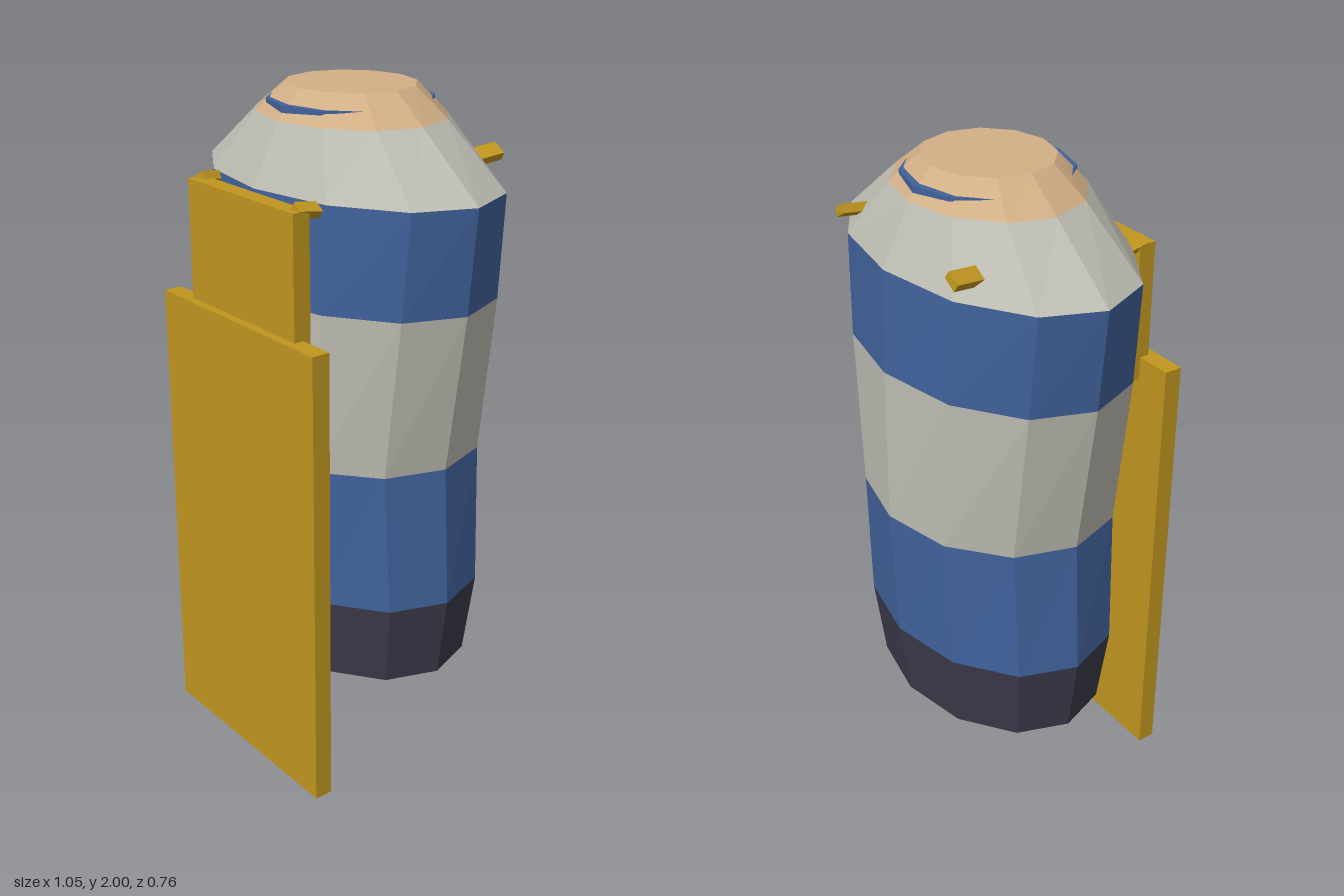
import * as THREE from 'three';

const BLUE = 0x41629c, GREY = 0xbdbcb2, SKIN = 0xd2af86, DARK = 0x3a3b4a, GOLD = 0xc0961f;

function createMesh(name, geometry, color) {
  const material = new THREE.MeshStandardMaterial({ color, flatShading: true });
  const mesh = new THREE.Mesh(geometry, material);
  mesh.name = name;
  return mesh;
}

function box(name, w, h, d, x, y, z) {
  const mesh = createMesh(name, new THREE.BoxGeometry(w, h, d), GOLD);
  mesh.position.set(x, y, z);
  return mesh;
}

// Twelve-sided elliptical band between two rings [y, half width, half depth]
function band(name, low, high, color) {
  const geometry = new THREE.CylinderGeometry(1, 1, 1, 12, 1);
  const p = geometry.attributes.position;
  for (let i = 0; i < p.count; i++) {
    const [y, rx, rz] = p.getY(i) > 0 ? high : low;
    p.setXYZ(i, p.getX(i) * rx, y, p.getZ(i) * rz - 0.03);
  }
  geometry.computeVertexNormals();
  return createMesh(name, geometry, color);
}

// Thin crescent collar with a triangular section that closes to a point at each end
function collar(name, side) {
  const outer = [[-0.2, 0.12], [-0.12, 0.203], [0, 0.236], [0.12, 0.203], [0.2, 0.12]];
  const inset = [0, 0.022, 0.025, 0.022, 0];
  const drop = [0, 0.012, 0.02, 0.012, 0];
  const vertices = [], index = [];
  outer.forEach(([x, z], i) => {
    const at = (y, depth) => vertices.push(x * side, y, depth * side - 0.03);
    at(1.96, z);
    at(1.96 - drop[i], z);
    at(1.96, z - inset[i]);
  });
  for (let i = 0; i < 4; i++) {
    for (let j = 0; j < 3; j++) {
      const a = i * 3 + j, b = i * 3 + (j + 1) % 3;
      index.push(a, b, a + 3, b, b + 3, a + 3);
    }
  }
  const geometry = new THREE.BufferGeometry();
  geometry.setAttribute('position', new THREE.Float32BufferAttribute(vertices, 3));
  geometry.setIndex(index);
  geometry.computeVertexNormals();
  const mesh = createMesh(name, geometry, BLUE);
  mesh.material.side = THREE.DoubleSide;
  return mesh;
}

export function createModel() {
  const model = new THREE.Group();
  model.name = 'armouredTorso';

  // Torso, from the waist up to the neck
  const rings = [
    [0.31, 0.42, 0.305], [0.56, 0.455, 0.335], [0.98, 0.43, 0.35], [1.45, 0.497, 0.345],
    [1.75, 0.525, 0.333], [1.92, 0.303, 0.25], [2, 0.194, 0.18],
  ];
  const bands = [
    ['waist', DARK], ['lowerStripe', BLUE], ['middleStripe', GREY],
    ['chestStripe', BLUE], ['shoulders', GREY], ['neck', SKIN],
  ];
  bands.forEach(([name, color], i) => model.add(band(name, rings[i], rings[i + 1], color)));

  // Collar pieces
  model.add(collar('frontCollar', 1), collar('backCollar', -1));

  // Hanging front plates
  model.add(box('lowerPlate', 0.716, 1.39, 0.055, 0, 0.695, 0.3525));
  model.add(box('upperPlate', 0.492, 0.42, 0.053, 0, 1.53, 0.328));

  // Shoulder hooks, mirrored left and right
  for (const s of [1, -1]) {
    const side = s > 0 ? 'left' : 'right';
    const front = box(side + 'FrontHook', 0.036, 0.026, 0.07, s * 0.228, 1.737, 0.296);
    front.rotation.set(-0.12, -s * 0.1, -s * 0.6);
    const back = box(side + 'BackHook', 0.046, 0.026, 0.085, s * 0.274, 1.81, -0.29);
    back.rotation.set(0.1, -s * 0.08, -s * 0.55);
    model.add(front, back);
  }
  return model;
}
